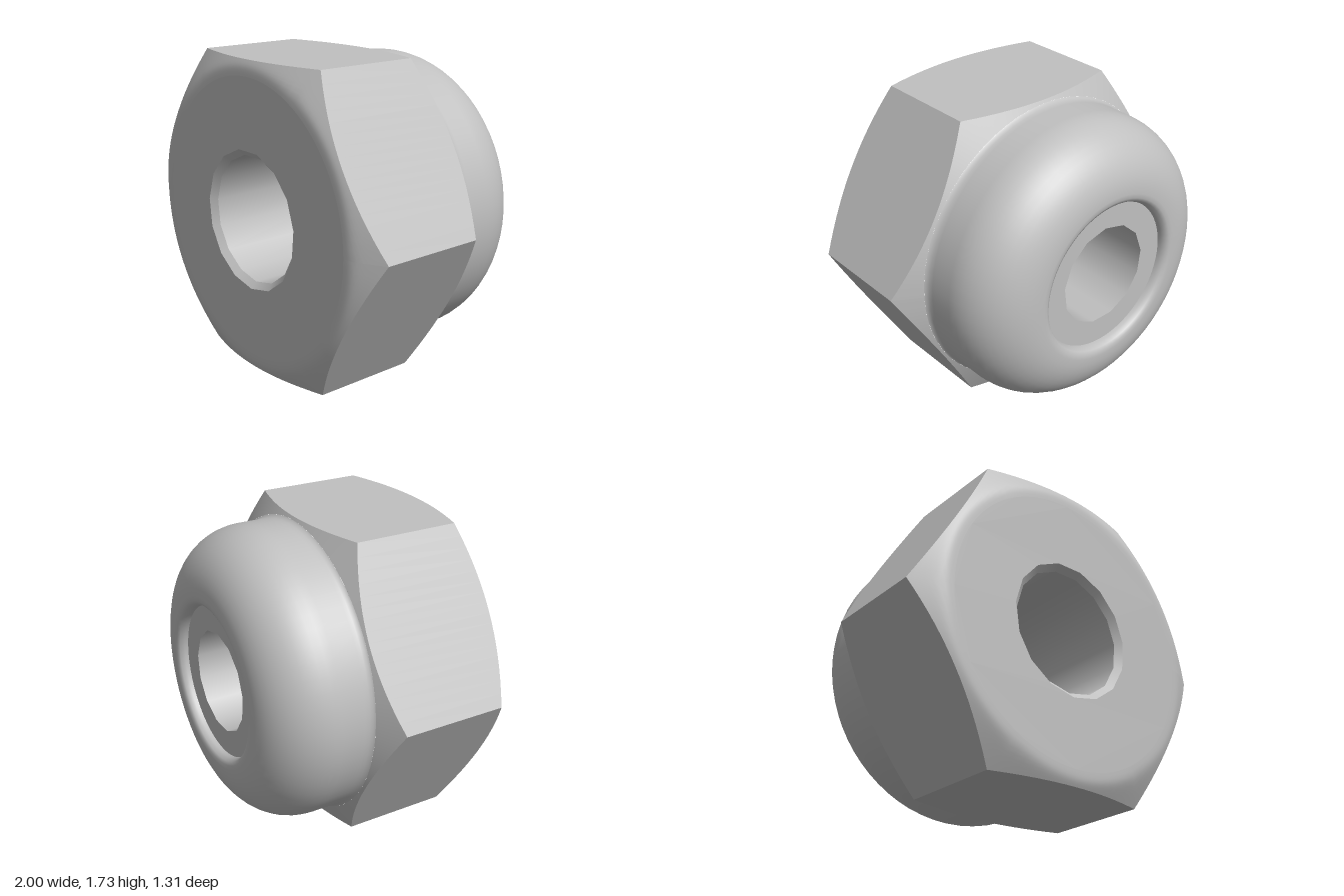
import * as THREE from 'three';

const APOTHEM = Math.sqrt(3) / 2;
const SIDE_STEPS = 16;
const BORE_SIDES = 15;
const INSERT_SIDES = 13;

// Surface from a rule f(u, v); it faces along dv x du
function grid(f, nu, nv) {
  const positions = [];
  const index = [];
  for (let j = 0; j <= nv; j++) {
    for (let i = 0; i <= nu; i++) positions.push(...f(i / nu, j / nv));
  }
  for (let j = 0; j < nv; j++) {
    for (let i = 0; i < nu; i++) {
      const a = j * (nu + 1) + i;
      const c = a + nu + 1;
      index.push(a, c, a + 1, a + 1, c, c + 1);
    }
  }
  const geometry = new THREE.BufferGeometry();
  geometry.setAttribute('position', new THREE.Float32BufferAttribute(positions, 3));
  geometry.setIndex(index);
  geometry.computeVertexNormals();
  return geometry;
}

// Revolve [radius, z] points about the z axis
function revolve(points, segments, start = 0) {
  const profile = points.map(([r, z]) => new THREE.Vector2(r, z));
  return new THREE.LatheGeometry(profile, segments, start).rotateX(Math.PI / 2);
}

function circlePoints(radius, n, start) {
  return Array.from({ length: n }, (_, i) => {
    const a = start + (i / n) * Math.PI * 2;
    return new THREE.Vector2(radius * Math.cos(a), radius * Math.sin(a));
  });
}

// Hexagon radius in a given direction, with corners on the x axis
function hexRadius(angle) {
  const sector = Math.PI / 3;
  const local = angle - Math.floor(angle / sector + 1e-9) * sector;
  return APOTHEM / Math.cos(local - sector / 2);
}

// Conical chamfers that trim both ends of the hexagon
function frontZ(r) {
  const d = r - 0.835;
  return 0.655 - 0.575 * (d + Math.sqrt(d * d + 0.0006)) / 2;
}
const backZ = (r) => -0.12 + 0.597 * (r - APOTHEM);

export function createModel() {
  const model = new THREE.Group();
  const nut = new THREE.Group();
  nut.name = 'lockNut';
  nut.position.y = APOTHEM;
  model.add(nut);

  const steel = new THREE.MeshStandardMaterial({ color: 0xc0c0c0 });
  steel.name = 'grey steel';

  const add = (name, geometry) => {
    const mesh = new THREE.Mesh(geometry, steel);
    mesh.name = name;
    nut.add(mesh);
    return mesh;
  };

  // Six flats with arched ends
  const flat = grid((u, v) => {
    const a = u * Math.PI / 3;
    const r = hexRadius(Math.min(a, Math.PI / 3 - 1e-6));
    const z = THREE.MathUtils.lerp(frontZ(r), backZ(r), v);
    return [r * Math.cos(a), r * Math.sin(a), z];
  }, SIDE_STEPS, 1);
  for (let i = 0; i < 6; i++) add('hexFlat', flat).rotation.z = i * Math.PI / 3;

  // Chamfers between the flats and the round inner edges
  const chamfer = (inner, zRule, outward) => grid((u, v) => {
    const a = u * Math.PI * 2;
    const r = THREE.MathUtils.lerp(inner, hexRadius(a), outward ? v : 1 - v);
    return [r * Math.cos(a), r * Math.sin(a), zRule(r)];
  }, SIDE_STEPS * 6, 8);
  add('frontChamfer', chamfer(0.78, frontZ, true));
  add('backChamfer', chamfer(0.85, backZ, false));

  // Front bearing face with the bore cut out
  const face = new THREE.Shape(circlePoints(0.78, SIDE_STEPS * 6, 0));
  face.holes.push(new THREE.Path(circlePoints(0.39, BORE_SIDES, -Math.PI / 2)));
  add('frontFace', new THREE.ShapeGeometry(face).translate(0, 0, frontZ(0.78)));

  // Domed collar: rolled lip, quarter round, straight wall, fillet
  const collar = [[0.43, -0.59], [0.432, -0.62], [0.445, -0.645], [0.465, -0.655]];
  for (let i = 0; i <= 12; i++) {
    const a = (i / 12) * Math.PI / 2;
    collar.push([0.49 + 0.343 * Math.sin(a), -0.315 - 0.342 * Math.cos(a)]);
  }
  collar.push([0.833, -0.18], [0.836, -0.155], [0.842, -0.138], [0.85, backZ(0.85)]);
  add('collar', revolve(collar, 64));

  // Bore with a countersunk mouth
  add('boreMouth', revolve([[0.39, frontZ(0.78)], [0.355, 0.62]], BORE_SIDES));
  add('bore', revolve([[0.355, 0.62], [0.355, -0.16]], BORE_SIDES));

  // Locking insert ring held inside the collar
  const insert = [[0.4, -0.16], [0.29, -0.16], [0.29, -0.6], [0.45, -0.6]];
  ['insertFront', 'insertBore', 'insertBack'].forEach((name, i) => {
    add(name, revolve(insert.slice(i, i + 2), INSERT_SIDES, Math.PI));
  });

  return model;
}
